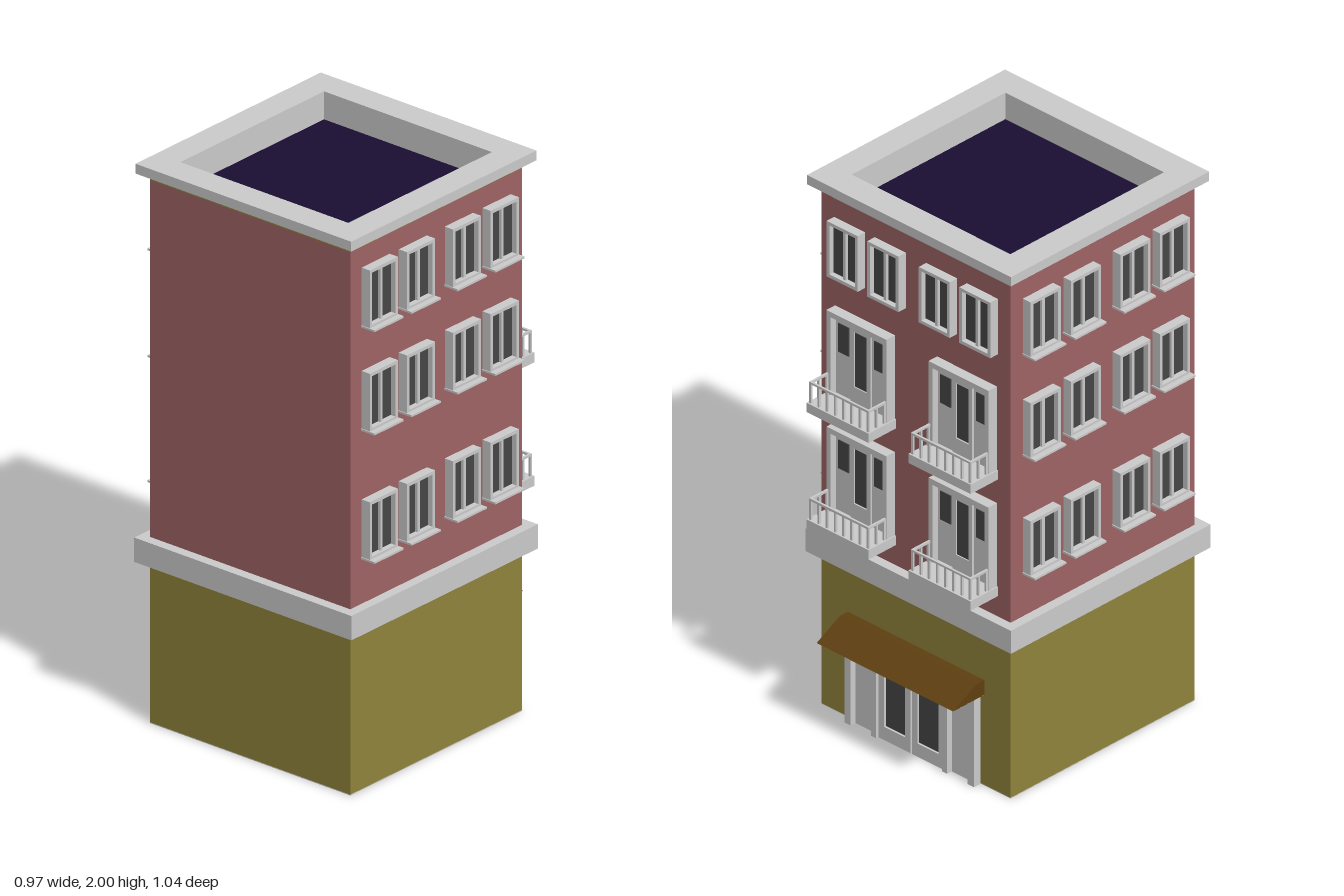
import * as THREE from 'three';

const mat = (color) => new THREE.MeshStandardMaterial({ color });
const GREY = mat(0xcccccc), GLASS = mat(0x464646), RED = mat(0x9f6464);
const OCHRE = mat(0x91843c), ROOF = mat(0x1a0e31), BROWN = mat(0x5f3f10);
const BACK = -0.375, SIDE = 0.427;

// Box given by its limits on each axis
function box(name, material, x0, x1, y0, y1, z0, z1) {
  const mesh = new THREE.Mesh(new THREE.BoxGeometry(x1 - x0, y1 - y0, z1 - z0), material);
  mesh.position.set((x0 + x1) / 2, (y0 + y1) / 2, (z0 + z1) / 2);
  mesh.name = name;
  return mesh;
}

function rect(path, x0, x1, y0, y1) {
  path.moveTo(x0, y0);
  path.lineTo(x1, y0);
  path.lineTo(x1, y1);
  path.lineTo(x0, y1);
  path.closePath();
  return path;
}

// Rectangular plate with rectangular holes, extruded along +z
function plate(name, material, outer, holes, depth) {
  const shape = rect(new THREE.Shape(), ...outer);
  holes.forEach((h) => shape.holes.push(rect(new THREE.Path(), ...h)));
  const geometry = new THREE.ExtrudeGeometry(shape, { depth, bevelEnabled: false });
  const mesh = new THREE.Mesh(geometry, material);
  mesh.name = name;
  return mesh;
}

// Horizontal ring of wall, open in the middle; limits are x0, x1, z0, z1
function ring(name, material, [x0, x1, z0, z1], [a0, a1, b0, b1], y0, y1) {
  const mesh = plate(name, material, [x0, x1, -z1, -z0], [[a0, a1, -b1, -b0]], y1 - y0);
  mesh.rotation.x = -Math.PI / 2;
  mesh.position.y = y0;
  return mesh;
}

// Two-pane window, facing +z with its foot at y = 0
function makeWindow(withSill) {
  const g = new THREE.Group();
  g.name = 'window';
  const w = 0.07, h = 0.21, t = 0.012;
  g.add(plate('windowFrame', GREY, [-w, w, 0, h], [[-w + t, w - t, t, h - t]], 0.035));
  g.add(box('windowPanes', GLASS, -w + t, w - t, t, h - t, 0, 0.015));
  g.add(box('windowMullion', GREY, -0.006, 0.006, t, h - t, 0, 0.025));
  if (withSill) g.add(box('windowSill', GREY, -0.073, 0.073, -0.003, 0.004, 0, 0.057));
  return g;
}

// Balcony with its door and railing, facing +z; the slab top is at y = 0
function makeBalcony() {
  const g = new THREE.Group();
  g.name = 'balcony';
  const w = 0.14, d = 0.128, top = 0.08, inset = 0.006;
  g.add(box('balconySlab', GREY, -w, w, -0.035, 0, 0, d));
  // Door surround, door wall and glazing
  g.add(plate('doorFrame', GREY, [-0.135, 0.135, 0, 0.315], [[-0.117, 0.117, 0, 0.295]], 0.04));
  g.add(box('doorWall', GREY, -0.117, 0.117, 0, 0.295, 0, 0.014));
  g.add(plate('balconyDoor', GREY, [-0.045, 0.045, 0, 0.285], [[-0.029, 0.029, 0.06, 0.268]], 0.022));
  g.add(box('doorPane', GLASS, -0.029, 0.029, 0.06, 0.268, 0.01, 0.017));
  for (const s of [-1, 1]) {
    g.add(box('sidePane', GLASS, s * 0.081 - 0.024, s * 0.081 + 0.024, 0.16, 0.268, 0.01, 0.017));
  }
  // Railing
  const rw = w - inset, front = d - inset, r = 0.004;
  g.add(box('frontRail', GREY, -rw, rw, top - 0.008, top, front - 2 * r, front));
  for (let i = 0; i <= 7; i++) {
    const x = -rw + r + (i * 2 * (rw - r)) / 7;
    g.add(box('frontBaluster', GREY, x - r, x + r, 0, top, front - 2 * r, front));
  }
  for (const s of [-1, 1]) {
    const x = s * (rw - r);
    g.add(box('sideRail', GREY, x - r, x + r, top - 0.008, top, 0.04, front));
    for (const z of [0.045, 0.081]) {
      g.add(box('sideBaluster', GREY, x - r, x + r, 0, top, z - r, z + r));
    }
  }
  return g;
}

// Shop entrance with glazed double door and awning, facing +z
function makeEntrance() {
  const g = new THREE.Group();
  g.name = 'entrance';
  const h = 0.34;
  g.add(box('entrancePanel', GREY, -0.29, 0.29, 0, h, 0, 0.01));
  for (const s of [-1, 1]) {
    g.add(box('outerPost', GREY, s * 0.278 - 0.014, s * 0.278 + 0.014, 0, h, 0, 0.032));
    g.add(box('doorPost', GREY, s * 0.16 - 0.011, s * 0.16 + 0.011, 0, h, 0, 0.032));
    const leaf = plate('doorLeaf', GREY, [-0.072, 0.072, 0, 0.32], [[-0.047, 0.047, 0.05, 0.295]], 0.022);
    leaf.position.x = s * 0.075;
    g.add(leaf);
    g.add(box('doorGlass', GLASS, s * 0.075 - 0.047, s * 0.075 + 0.047, 0.05, 0.295, 0, 0.014));
  }
  g.add(box('doorLintel', GREY, -0.17, 0.17, 0.32, h, 0, 0.028));
  // Awning: side profile swept across the width
  const profile = new THREE.Shape([[0, 0.342], [0.145, 0.342], [0.036, 0.398], [0, 0.398]]
    .map(([z, y]) => new THREE.Vector2(-z, y)).reverse());
  const awning = new THREE.Mesh(
    new THREE.ExtrudeGeometry(profile, { depth: 0.616, bevelEnabled: false }), BROWN);
  awning.name = 'awning';
  awning.rotation.y = Math.PI / 2;
  awning.position.x = -0.308;
  g.add(awning);
  g.add(box('awningUnderside', GREY, -0.306, 0.306, 0.34, 0.343, 0, 0.142));
  return g;
}

export function createModel() {
  const model = new THREE.Group();
  model.name = 'townhouse';
  const put = (part, x, y, z, turn) => {
    part.position.set(x, y, z);
    part.rotation.y = turn;
    model.add(part);
  };

  // Walls, floor band and sunken roof
  const wall = [-SIDE, SIDE, BACK, 0.48];
  const well = [-0.358, 0.358, -0.305, 0.41];
  const lining = [-0.37, 0.37, -0.317, 0.422];
  model.add(box('baseUnderside', GREY, -SIDE, SIDE, 0, 0.003, BACK, 0.48));
  model.add(box('groundFloor', OCHRE, -SIDE, SIDE, 0.003, 0.58, BACK, 0.48));
  model.add(box('floorBand', GREY, -0.463, 0.463, 0.578, 0.665, -0.411, 0.517));
  model.add(ring('upperWalls', RED, wall, lining, 0.665, 1.94));
  model.add(ring('topStrip', OCHRE, wall, lining, 1.94, 1.965));
  model.add(ring('cornice', GREY, [-0.46, 0.46, -0.408, 0.514], well, 1.965, 2));
  model.add(ring('parapetLining', GREY, lining, well, 1.89, 1.965));
  model.add(box('roof', ROOF, -0.358, 0.358, 1.885, 1.9, -0.305, 0.41));

  // Side windows
  for (const s of [-1, 1]) {
    for (const y of [0.828, s > 0 ? 1.287 : 1.275, 1.656]) {
      for (const z of [0.354, 0.169, -0.06, -0.248]) {
        put(makeWindow(true), s * SIDE, y, z, s * Math.PI / 2);
      }
    }
  }

  // Back windows, balconies and entrance
  for (const x of [-0.299, -0.116, 0.116, 0.299]) put(makeWindow(false), x, 1.656, BACK, Math.PI);
  for (const x of [-0.23, 0.23]) {
    for (const y of [0.777, 1.218]) put(makeBalcony(), x, y, BACK, Math.PI);
  }
  put(makeEntrance(), 0, 0, BACK, Math.PI);
  return model;
}
